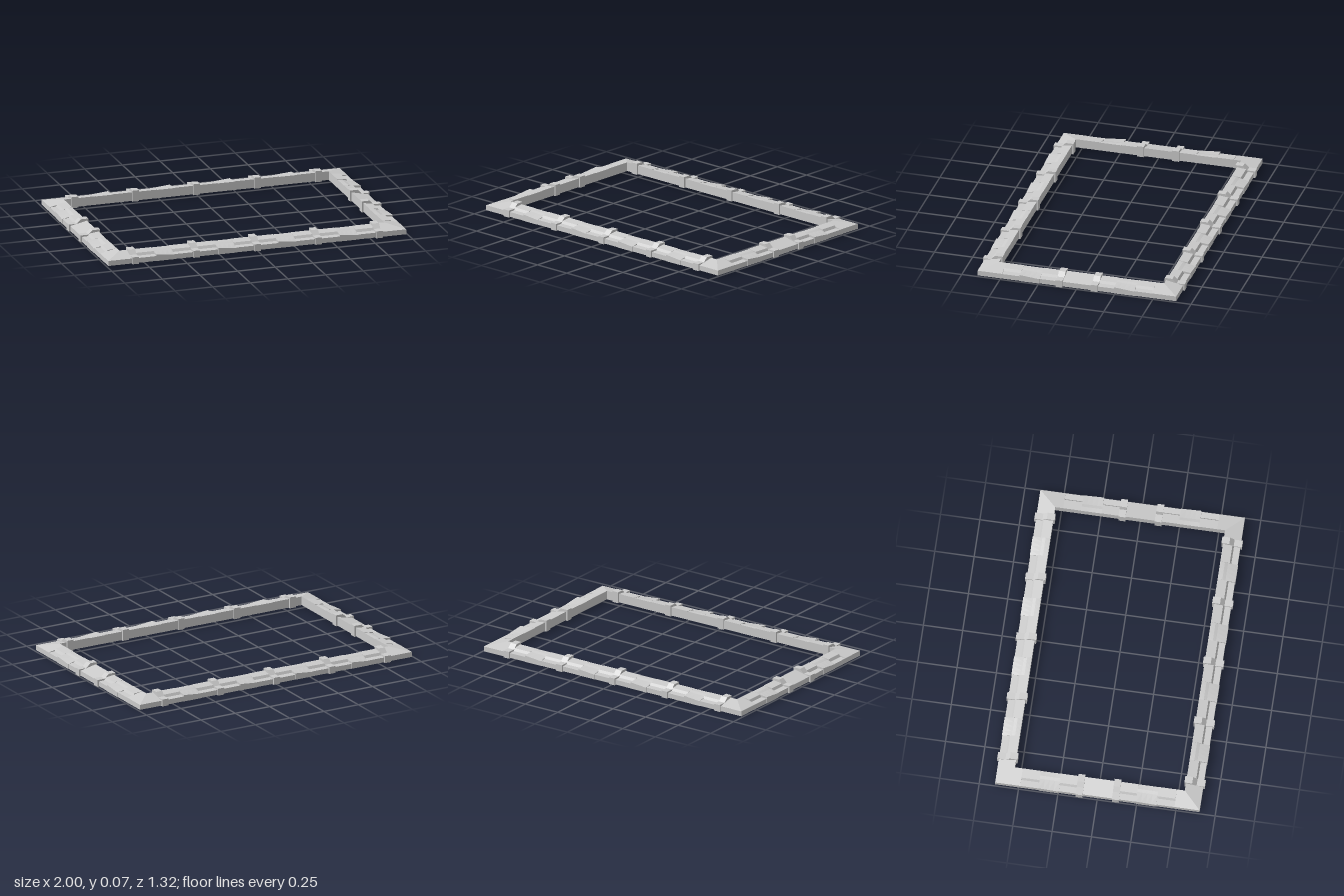
import * as THREE from 'three';

const material = new THREE.MeshStandardMaterial({ color: 0xcccccc, flatShading: true, side: THREE.DoubleSide });

// Cross-sections: [distance outward from the inner edge, height]
const PLAIN = [[0, 0.003], [0.11, 0.003], [0.11, 0.036], [0, 0.06]];
const STEPPED = [[0, 0.003], [0.11, 0.003], [0.11, 0.035], [0.07, 0.037], [0.06, 0.053], [0, 0.06]];
const WORN = [[0, 0.003], [0.113, 0.003], [0.113, 0.04], [0.05, 0.05], [0.03, 0.056], [0, 0.058]];
const CLAMP = [[-0.01, 0], [0.12, 0], [0.12, 0.046], [0.068, 0.046], [0.04, 0.073], [-0.01, 0.073]];

// Extrudes a section from a to b along the rail; mitre cuts an end at 45 degrees, twist tilts the top
function piece(name, section, a, b, { mitre = 0, twist = 0 } = {}) {
  const shape = new THREE.Shape(section.map(([u, y]) => new THREE.Vector2(u, y)));
  const geo = new THREE.ExtrudeGeometry(shape, { depth: b - a, bevelEnabled: false, steps: twist ? 4 : 1 });
  geo.translate(0, 0, a);
  const p = geo.attributes.position;
  for (let i = 0; i < p.count; i++) {
    const u = p.getX(i), y = p.getY(i), t = p.getZ(i);
    if (twist && y > 0.01) p.setY(i, y + twist * (t - (a + b) / 2) * u);
    if (mitre > 0 && Math.abs(t - b) < 1e-5) p.setZ(i, t + u);
    if (mitre < 0 && Math.abs(t - a) < 1e-5) p.setZ(i, t - u);
  }
  geo.computeVertexNormals();
  const mesh = new THREE.Mesh(geo, material);
  mesh.name = name;
  return mesh;
}

// One side of the frame, running along local z with its outside facing local +x
function rail(name, { half, plainFrom, patches, patchHalf, clamps, plainMiddle }) {
  const g = new THREE.Group();
  g.name = name;
  // mitred ends
  g.add(piece('cornerEnd', PLAIN, -half, -plainFrom, { mitre: -1 }));
  g.add(piece('cornerEnd', PLAIN, plainFrom, half, { mitre: 1 }));
  // stepped lengths with worn, slightly twisted patches between
  let start = -plainFrom;
  for (const c of patches) {
    if (plainMiddle && start < 0 && c > 0) {
      g.add(piece('steppedBeam', STEPPED, start, -plainMiddle));
      g.add(piece('plainBeam', PLAIN, -plainMiddle, plainMiddle));
      start = plainMiddle;
    }
    g.add(piece('steppedBeam', STEPPED, start, c - patchHalf));
    g.add(piece('wornPatch', WORN, c - patchHalf, c + patchHalf, { twist: 0.8 }));
    start = c + patchHalf;
  }
  g.add(piece('steppedBeam', STEPPED, start, plainFrom));
  // clamps wrapped round the beam
  for (const c of clamps) g.add(piece('clamp', CLAMP, c - 0.022, c + 0.022));
  return g;
}

export function createModel() {
  const model = new THREE.Group();
  model.name = 'frame';
  const long = {
    half: 0.88, plainFrom: 0.83, patchHalf: 0.06,
    patches: [-0.61, -0.2, 0.2, 0.61], clamps: [-0.81, -0.405, 0, 0.405, 0.81],
  };
  const short = {
    half: 0.54, plainFrom: 0.49, patchHalf: 0.065, plainMiddle: 0.115,
    patches: [-0.31, 0.31], clamps: [-0.115, 0.115],
  };
  const sides = [
    ['leftRail', short, 0.88, 0, 0],
    ['rightRail', short, -0.88, 0, Math.PI],
    ['frontRail', long, 0, 0.54, -Math.PI / 2],
    ['backRail', long, 0, -0.54, Math.PI / 2],
  ];
  for (const [name, spec, x, z, turn] of sides) {
    const r = rail(name, spec);
    r.position.set(x, 0, z);
    r.rotation.y = turn;
    model.add(r);
  }
  return model;
}
